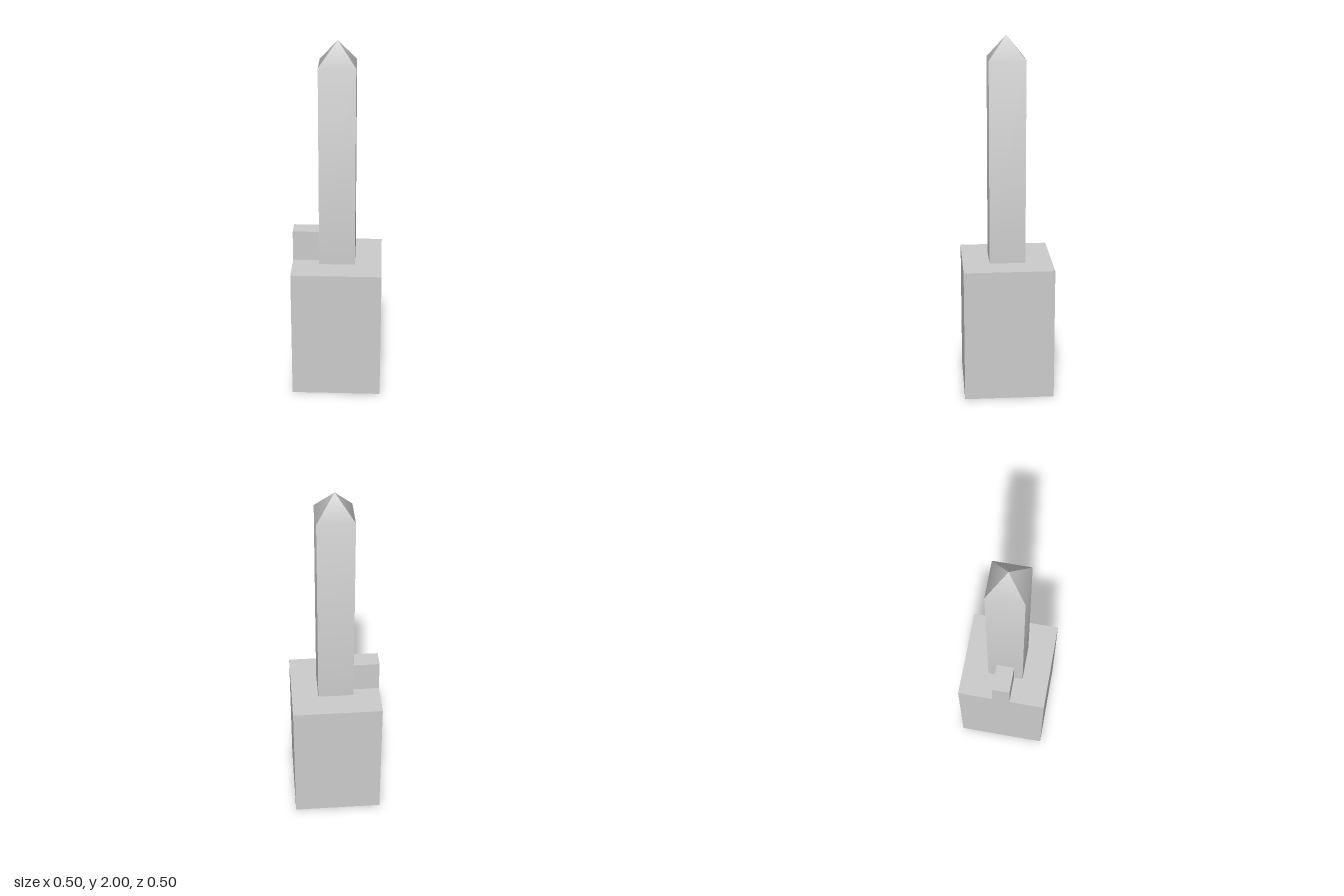
import * as THREE from 'three';
import { mergeGeometries } from 'three/addons/utils/BufferGeometryUtils.js';

const BASE_TOP = 0.75, SHOULDER = 1.875, TIP = 2, HALF = 0.1;

// One side of the shaft: a wall running smoothly into its face of the point
function shaftSide(turn) {
  const wall = new THREE.Vector3(0, 0, 1);
  const slope = new THREE.Vector3(0, HALF, TIP - SHOULDER).normalize();
  const bend = wall.clone().multiplyScalar(1.5).add(slope).normalize();
  const corners = [
    [-HALF, BASE_TOP, HALF, wall], [HALF, BASE_TOP, HALF, wall],
    [HALF, SHOULDER, HALF, bend], [-HALF, SHOULDER, HALF, bend],
    [0, TIP, 0, slope],
  ];
  const geometry = new THREE.BufferGeometry();
  geometry.setAttribute('position', new THREE.Float32BufferAttribute(corners.flatMap(c => c.slice(0, 3)), 3));
  geometry.setAttribute('normal', new THREE.Float32BufferAttribute(corners.flatMap(c => c[3].toArray()), 3));
  geometry.setIndex([0, 1, 2, 0, 2, 3, 3, 2, 4]);
  return geometry.rotateY(turn * Math.PI / 2);
}

export function createModel() {
  const group = new THREE.Group();
  const material = new THREE.MeshStandardMaterial({ color: 0xcccccc });

  const add = (name, geometry, x = 0, y = 0, z = 0) => {
    const mesh = new THREE.Mesh(geometry, material);
    mesh.name = name;
    mesh.position.set(x, y, z);
    group.add(mesh);
  };

  // Square block at the foot
  add('base', new THREE.BoxGeometry(0.5, BASE_TOP, 0.5), 0, BASE_TOP / 2, 0);

  // Tall square shaft with a pyramid point
  add('pointedShaft', mergeGeometries([0, 1, 2, 3].map(shaftSide)));

  // Small block beside the shaft, flush with the edge of the base
  add('sideBlock', new THREE.BoxGeometry(0.15, 0.175, 0.1), -0.175, BASE_TOP + 0.0875, 0);

  return group;
}
